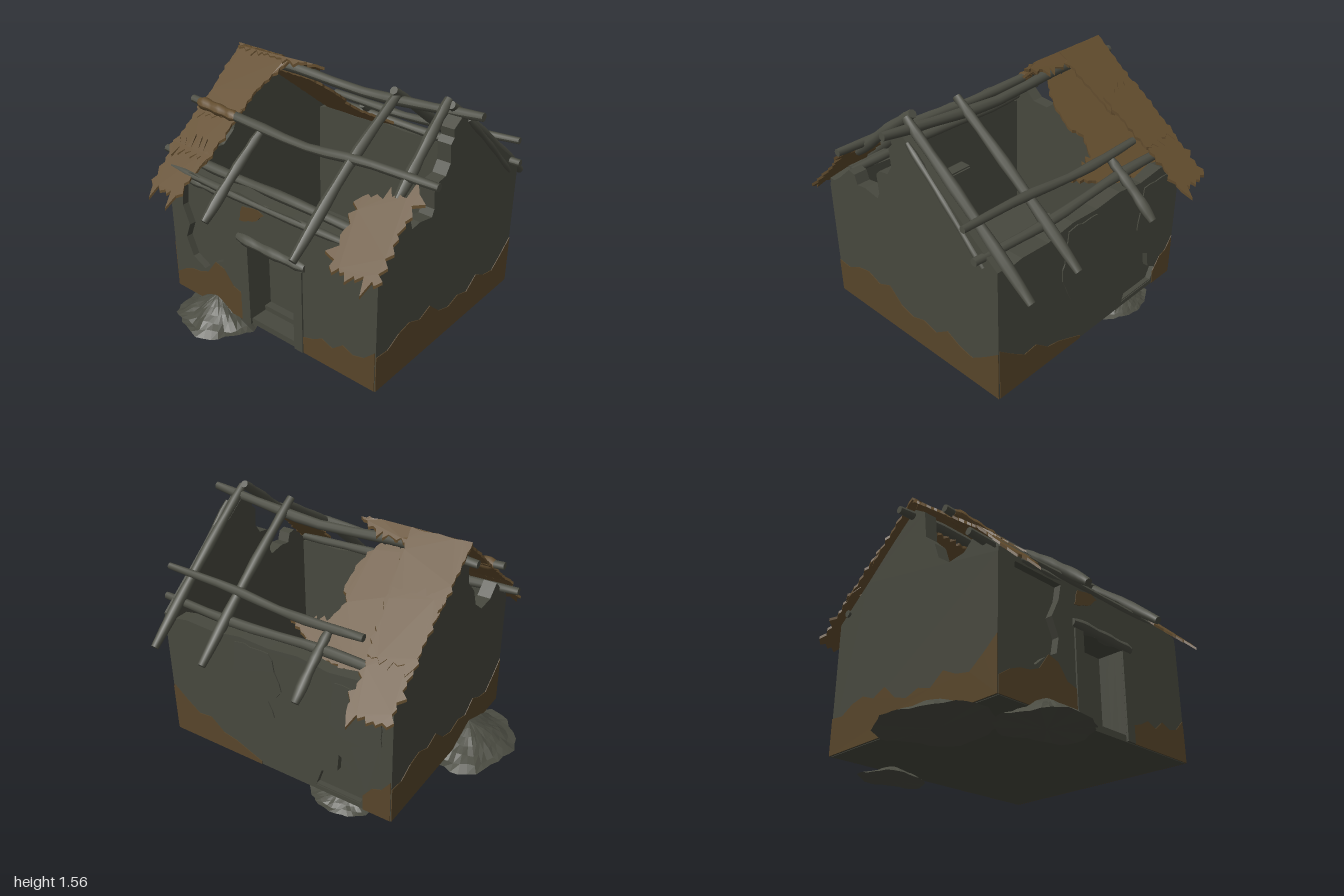
import * as THREE from 'three';

const mat = (name, color) => new THREE.MeshStandardMaterial({ name, color });

export function createModel() {
  const root = new THREE.Group();
  root.name = 'ruinedHut';
  const clay = mat('clay', 0x47483e);
  const wood = mat('weatheredWood', 0x4c4d43);
  const straw = mat('straw', 0x634d2e);
  const mud = mat('mudStain', 0x57452a);
  const rubbleGrey = mat('rubble', 0x4a4b41);

  let seed = 7;
  const rnd = () => (seed = (seed * 16807) % 2147483647) / 2147483647;

  const add = (geo, material, name, parent = root) => {
    const m = new THREE.Mesh(geo, material);
    m.name = name;
    parent.add(m);
    return m;
  };
  const group = (name) => {
    const g = new THREE.Group();
    g.name = name;
    root.add(g);
    return g;
  };
  const toPoints = (pts) => pts.map(([x, y]) => new THREE.Vector2(x, y));
  const extrude = (pts, depth, holes = []) => {
    const s = new THREE.Shape(toPoints(pts));
    s.holes = holes.map((h) => new THREE.Path(toPoints(h)));
    return new THREE.ExtrudeGeometry(s, { depth, bevelEnabled: false });
  };

  // Break every edge of an outline into uneven teeth, a few of them long; side scales the teeth on upright edges
  const ragged = (pts, amp, step, side = 1) => {
    const out = [];
    pts.forEach(([ax, ay], i) => {
      const [bx, by] = pts[(i + 1) % pts.length];
      const len = Math.hypot(bx - ax, by - ay);
      const n = Math.max(1, Math.round(len / step));
      const size = Math.abs(by - ay) > Math.abs(bx - ax) ? amp * side : amp;
      for (let k = 0; k < n; k++) {
        const t = k === 0 ? 0 : (k + (rnd() - 0.5) * 0.6) / n;
        const o = k === 0 ? 0 : k % 2 ? size * (0.15 + 1.1 * rnd() ** 2) : -size * 0.3 * rnd();
        out.push([ax + (bx - ax) * t + ((by - ay) / len) * o, ay + (by - ay) * t - ((bx - ax) / len) * o]);
      }
    });
    return out;
  };

  // ---- Walls ----
  const walls = group('walls');
  const door = [[-0.05, 0.1], [-0.05, 0.65], [0.3, 0.65], [0.3, 0.1]];
  const topEdge = [[0.87, 0.92], [0.7, 0.95], [0.5, 0.94], [0.3, 0.97], [0.1, 0.96], [-0.1, 0.98], [-0.3, 0.95], [-0.5, 0.97], [-0.7, 0.92]];
  const frontOutline = [[-0.7, 0.1], ...door, [0.87, 0.1], ...topEdge];
  const frontBreak = [[-0.58, 0.88], [-0.6, 0.72], [-0.55, 0.6], [-0.59, 0.5], [-0.54, 0.38], [-0.44, 0.33], [-0.36, 0.4],
    [-0.27, 0.45], [-0.25, 0.55], [-0.3, 0.66], [-0.24, 0.78], [-0.22, 0.88]];
  add(extrude(frontOutline, 0.05, [frontBreak]), clay, 'frontPlaster', walls).position.z = 0.63;
  add(extrude(frontOutline, 0.06), clay, 'frontWall', walls).position.z = 0.575;

  const backOutline = [[-0.7, 0.1], [0.87, 0.1], ...topEdge];
  const backBreak = [[-0.5, 0.13], [-0.54, 0.22], [-0.46, 0.27], [-0.44, 0.38], [-0.36, 0.42], [-0.35, 0.3], [-0.24, 0.25], [-0.2, 0.13]];
  add(extrude(backOutline, 0.04, [backBreak]), clay, 'backPlaster', walls).position.z = -0.71;
  add(extrude(backOutline, 0.06), clay, 'backWall', walls).position.z = -0.675;
  // Loose plaster sheets on the back
  [[[0.1, 0.93], [0.02, 0.7], [0.12, 0.6], [0.08, 0.5], [0.3, 0.45], [0.38, 0.62], [0.34, 0.93]],
    [[-0.62, 0.9], [-0.64, 0.6], [-0.45, 0.52], [-0.3, 0.62], [-0.34, 0.9]]]
    .forEach((p) => { add(extrude(ragged(p, 0.012, 0.06), 0.008), clay, 'loosePlaster', walls).position.z = -0.717; });

  // Broken gables, drawn as [z, y] and turned to face sideways
  const gableBack = [[-0.02, 1.48], [-0.2, 1.35], [-0.45, 1.15], [-0.71, 0.95], [-0.71, 0.1], [0.68, 0.1], [0.68, 0.89]];
  const rightBreak = [[0.57, 0.97], [0.47, 1.06], [0.42, 1.05], [0.4, 0.99], [0.33, 1.0], [0.22, 0.98], [0.2, 1.02], [0.21, 1.14], [0.18, 1.17],
    [0.11, 1.18], [0.07, 1.24], [0.08, 1.35], [0.05, 1.38], [0.06, 1.43]];
  const leftBreak = [[0.5, 1.06], [0.42, 0.99], [0.3, 0.98], [0.21, 1.05], [0.17, 1.16], [0.09, 1.24], [0.07, 1.42]];
  [[rightBreak, 0.79, 'rightGable'], [leftBreak, -0.705, 'leftGable']].forEach(([brk, x, name]) => {
    const m = add(extrude([...gableBack, ...brk].map(([z, y]) => [-z, y]), 0.085), clay, name, walls);
    m.rotation.y = Math.PI / 2;
    m.position.x = x;
  });
  const floor = add(new THREE.BoxGeometry(1.56, 0.04, 1.38), clay, 'floor', walls);
  floor.position.set(0.085, 0.117, -0.015);

  // ---- Mud stains: thin sheets with wavy tops ----
  const stains = group('mudStains');
  const band = (a, b, heights) => {
    const n = heights.length - 1;
    const tops = heights.map((h, i) => [a + ((b - a) * i) / n, h]).reverse();
    return extrude([[a, 0.1], [b, 0.1], ...tops], 0.005);
  };
  const stain = (geo, x, z, turn) => {
    const m = add(geo, mud, 'mudStain', stains);
    m.position.set(x, 0, z);
    m.rotation.y = turn;
  };
  stain(band(-0.7, -0.12, [0.2, 0.25, 0.28, 0.29, 0.32, 0.42, 0.4, 0.31, 0.29]), 0, 0.679, 0);
  stain(band(0.36, 0.87, [0.21, 0.23, 0.27, 0.24, 0.3, 0.27, 0.29, 0.36]), 0, 0.679, 0);
  stain(extrude(ragged([[-0.11, 0.8], [0.0, 0.83], [0.09, 0.9], [0.04, 0.92], [-0.08, 0.9]], 0.01, 0.04), 0.005), 0, 0.679, 0);
  const sideBand = [0.33, 0.32, 0.37, 0.39, 0.35, 0.39, 0.3, 0.27, 0.3, 0.27, 0.34, 0.29, 0.27, 0.34, 0.42];
  stain(band(-0.68, 0.71, sideBand), 0.874, 0, Math.PI / 2);
  stain(band(-0.71, 0.68, sideBand), -0.704, 0, -Math.PI / 2);
  stain(band(-0.87, -0.2, [0.44, 0.36, 0.29, 0.3, 0.22, 0.2, 0.16, 0.12]), 0, -0.709, Math.PI);
  stain(band(0.52, 0.7, [0.2, 0.28, 0.3, 0.38]), 0, -0.709, Math.PI);

  // ---- Logs: cylinders bent along a curve ----
  const logs = group('roofFrame');
  const log = (name, pts, r = 0.031, parent = logs, material = wood) => {
    const v = pts.map((p) => new THREE.Vector3(...p));
    const curve = new THREE.CatmullRomCurve3(v);
    const dir = v[v.length - 1].clone().sub(v[0]).normalize();
    const q = new THREE.Quaternion().setFromUnitVectors(new THREE.Vector3(0, 1, 0), dir);
    const geo = new THREE.CylinderGeometry(r * 0.88, r, 1, 9, 10);
    const pos = geo.attributes.position;
    for (let i = 0; i < pos.count; i++) {
      const t = Math.min(1, Math.max(0, pos.getY(i) + 0.5));
      const swell = (1 + 0.1 * Math.sin(t * 17 + r * 300)) * (t === 0 || t === 1 ? 0.75 : 1);
      const off = new THREE.Vector3(pos.getX(i) * swell, 0, pos.getZ(i) * swell).applyQuaternion(q);
      off.add(curve.getPoint(t));
      pos.setXYZ(i, off.x, off.y, off.z);
    }
    geo.computeVertexNormals();
    return add(geo, material, name, parent);
  };
  const roofY = (z) => 1.52 - 0.79 * Math.abs(z);

  // Long poles running side to side
  log('ridgePole', [[-0.81, 1.44, -0.04], [-0.4, 1.46, -0.04], [0.2, 1.43, -0.05], [0.6, 1.46, -0.04], [0.99, 1.5, -0.03]], 0.033);
  log('frontPurlin', [[-0.8, 1.26, 0.36], [-0.3, 1.23, 0.36], [0.15, 1.22, 0.38], [0.5, 1.25, 0.37], [1.0, 1.26, 0.37]], 0.031);
  log('backPurlin', [[-0.42, 1.12, -0.55], [-0.1, 1.11, -0.55], [0.15, 1.11, -0.54], [0.5, 1.14, -0.53], [0.95, 1.17, -0.55]], 0.029);
  log('frontEavePole', [[-0.82, 1.0, 0.58], [-0.3, 0.98, 0.57], [0.2, 0.99, 0.58], [0.78, 0.97, 0.58]], 0.032);
  log('lowerFrontEavePole', [[-0.68, 0.95, 0.66], [0, 0.94, 0.67], [0.74, 0.94, 0.66]], 0.026);
  log('backEavePole', [[-0.72, 1.0, -0.63], [-0.2, 1.01, -0.62], [0.4, 0.99, -0.63], [0.94, 1.0, -0.61]], 0.031);
  log('wallBeam', [[-0.53, 0.91, 0.66], [-0.2, 0.91, 0.66]], 0.028);

  // Rafters following the slopes, as [x, z start, z end]
  [[-0.2, 0.86, 0.4], [-0.2, -0.88, -0.56], [0.45, 0.85, -0.04], [0.45, -0.88, 0.01], [0.81, -0.88, 0.0]]
    .forEach(([x, a, b]) => log('rafter', [[x, roofY(a) - 0.01, a], [x, roofY((a + b) / 2) + 0.01, (a + b) / 2], [x, roofY(b) + 0.01, b]], 0.033));
  log('rightFrontRafter', [[0.81, 1.16, 0.45], [0.8, 1.36, 0.22], [0.78, 1.55, -0.02]], 0.033);
  log('slippedPole', [[0.875, 1.44, -0.08], [0.875, 1.2, -0.34], [0.875, 0.93, -0.61]], 0.018);

  // ---- Doorway ----
  const doorway = group('doorway');
  const box = (name, w, h, d, x, y, z) => add(new THREE.BoxGeometry(w, h, d), clay, name, doorway).position.set(x, y, z);
  box('doorPanel', 0.4, 0.56, 0.03, 0.125, 0.39, 0.5);
  [-0.065, 0.315].forEach((x) => box('doorJamb', 0.03, 0.56, 0.09, x, 0.39, 0.54));
  box('doorHead', 0.41, 0.03, 0.09, 0.125, 0.665, 0.54);
  box('threshold', 0.35, 0.07, 0.05, 0.125, 0.135, 0.54);
  box('leftPost', 0.065, 0.55, 0.03, 0.333, 0.375, 0.675);
  box('rightPost', 0.07, 0.55, 0.03, -0.085, 0.375, 0.675);
  log('lintel', [[-0.13, 0.685, 0.675], [0.12, 0.68, 0.68], [0.385, 0.68, 0.675]], 0.036, doorway);

  // ---- Thatch: ragged sheets given as [x, z] and laid on the slopes; drop steepens those past the eave ----
  const thatch = group('thatch');
  const sheet = (name, pts, lift, amp = 0.06, side = 0.5, drop = 0) => {
    const geo = extrude(ragged(pts.map(([x, z]) => [x, -z]).reverse(), amp, 0.026, side), 0.018);
    const pos = geo.attributes.position;
    for (let i = 0; i < pos.count; i++) {
      const z = -pos.getY(i);
      pos.setXYZ(i, pos.getX(i), roofY(z) + lift + pos.getZ(i) - drop * (Math.abs(z) - 0.58), z);
    }
    geo.computeVertexNormals();
    add(geo, straw, name, thatch);
  };
  // Sheet corners run clockwise as seen from above
  sheet('frontThatchFringe', [[-0.75, 0.58], [-0.44, 0.58], [-0.53, 0.78], [-0.74, 0.78]], -0.015, 0.06, 0.5, 0.28);
  sheet('frontThatchLower', [[-0.73, 0.3], [-0.42, 0.3], [-0.44, 0.6], [-0.74, 0.6]], -0.015, 0.04);
  sheet('frontThatchUpper', [[-0.74, 0], [-0.3, 0], [-0.35, 0.06], [-0.41, 0.2], [-0.43, 0.38], [-0.72, 0.4]], -0.01, 0.03);
  sheet('backThatchLower', [[-0.75, -0.86], [-0.51, -0.86], [-0.49, -0.55], [-0.75, -0.55]], 0.015);
  sheet('backThatchMiddle', [[-0.75, -0.61], [-0.48, -0.61], [-0.44, -0.3], [-0.74, -0.3]], 0.02, 0.04);
  sheet('backThatchUpper', [[-0.74, -0.37], [-0.43, -0.37], [-0.38, 0], [-0.75, 0]], 0, 0.03);
  sheet('ridgeThatch', [[-0.74, -0.07], [-0.3, -0.07], [-0.18, -0.05], [-0.06, -0.01], [-0.3, 0.02], [-0.74, 0.02]], 0, 0.025);
  sheet('innerThatch', [[-0.55, -0.65], [-0.2, -0.63], [-0.06, -0.57], [0.1, -0.5], [-0.13, -0.47], [-0.19, -0.36],
    [-0.13, -0.29], [-0.15, -0.16], [-0.22, -0.05], [-0.55, -0.05]], -0.075, 0.025);
  sheet('cornerThatch', [[0.63, 0.5], [0.84, 0.45], [0.92, 0.42], [0.92, 0.78], [0.64, 0.78], [0.62, 0.64]], -0.02, 0.06, 1, 0.2);
  // Straw bound over the front purlin
  log('purlinStraw', [[-0.74, 1.255, 0.362], [-0.58, 1.245, 0.362], [-0.42, 1.235, 0.362]], 0.038, thatch, straw);

  // ---- Rubble: low lumpy domes with flat bottoms ----
  const rubble = group('rubble');
  [[-0.71, 0.25, 0.29, 0.35, 0.03, 0.16], [-0.35, 0.67, 0.28, 0.24, 0.01, 0.17], [-0.32, -0.6, 0.22, 0.155, 0.01, 0.09]]
    .forEach(([cx, cz, rx, rz, base, h], k) => {
      const geo = new THREE.ConeGeometry(1, 1, 36, 6);
      const pos = geo.attributes.position;
      for (let i = 0; i < pos.count; i++) {
        const x = pos.getX(i), z = pos.getZ(i), a = Math.atan2(z, x), r = Math.hypot(x, z);
        const s = 1 + 0.035 * Math.sin(5 * a + k) + 0.03 * Math.sin(13 * a + 2 * k);
        const up = pos.getY(i) + 0.5;
        const y = up > 0.01 ? 1 - r ** 1.15 + 0.07 * Math.sin(6 * a + r * 9) * r : 0.1 * (1 + Math.sin(4 * a)) * r;
        pos.setXYZ(i, cx + x * s * rx, base + h * y, cz + z * s * rz);
      }
      const flat = geo.toNonIndexed();
      flat.computeVertexNormals();
      add(flat, rubbleGrey, 'rubblePile', rubble);
    });

  return root;
}
